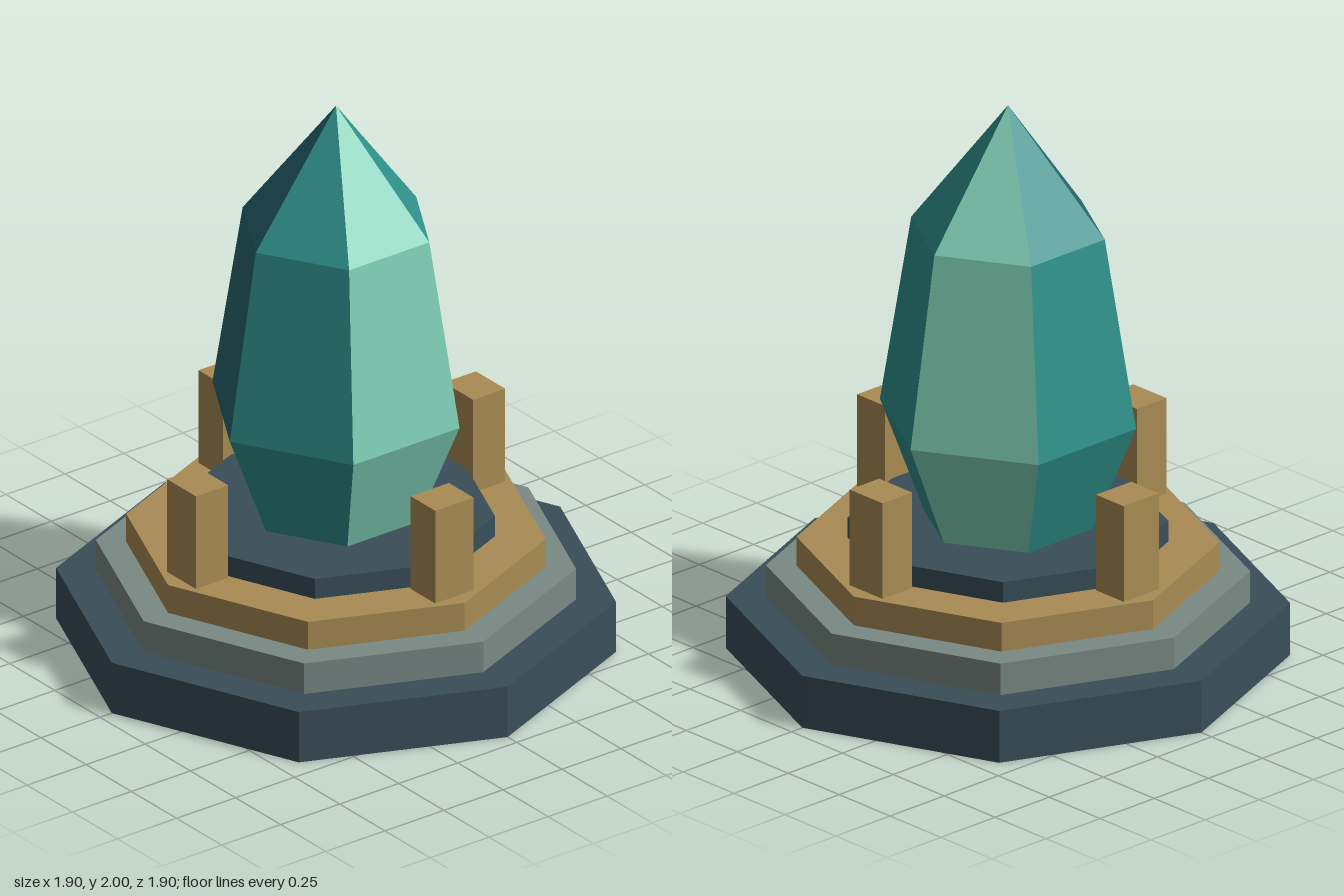
import * as THREE from 'three';

const mat = (name, color) => {
  const m = new THREE.MeshStandardMaterial({ color });
  m.name = name;
  return m;
};

// Gives every face its own flat normal
const faceted = (geometry) => {
  const g = geometry.toNonIndexed();
  g.computeVertexNormals();
  return g;
};

export function createModel() {
  const slate = mat('slate', 0x394e59);
  const stone = mat('stone', 0x7a8a85);
  const gold = mat('gold', 0xa98c54);
  const mint = mat('mint', 0x7fcfb6);
  const teal = mat('teal', 0x2f918c);
  const deepTeal = mat('deepTeal', 0x26666f);

  const model = new THREE.Group();
  model.name = 'crystalPedestal';
  const add = (parent, name, geometry, material) => {
    const mesh = new THREE.Mesh(geometry, material);
    mesh.name = name;
    parent.add(mesh);
    return mesh;
  };

  // Stepped octagonal base: name, radius, bottom, top, colour
  const tiers = [
    ['baseTier', 0.95, 0, 0.19, slate],
    ['stoneTier', 0.815, 0.19, 0.305, stone],
    ['goldTier', 0.712, 0.305, 0.41, gold],
    ['topTier', 0.54, 0.41, 0.485, slate],
  ];
  for (const [name, r, y0, y1, material] of tiers) {
    const g = faceted(new THREE.CylinderGeometry(r, r, y1 - y0, 8));
    add(model, name, g, material).position.y = (y0 + y1) / 2;
  }

  // Four posts standing on the gold tier
  const posts = new THREE.Group();
  posts.name = 'posts';
  model.add(posts);
  for (let i = 0; i < 4; i++) {
    const a = (i * Math.PI) / 2;
    const post = add(posts, 'post', new THREE.BoxGeometry(0.162, 0.35, 0.136), gold);
    post.position.set(Math.sin(a) * 0.587, 0.585, Math.cos(a) * 0.587);
    post.rotation.y = a;
  }

  // Six-sided crystal, one strip of facets per side
  const crystal = new THREE.Group();
  crystal.name = 'crystal';
  model.add(crystal);
  const profile = [[0.297, 0.485], [0.45, 0.87], [0.34, 1.55], [0, 2]]
    .map(([r, y]) => new THREE.Vector2(r, y));
  const sides = [mint, teal, mint, teal, deepTeal, teal];
  sides.forEach((material, i) => {
    const start = (i - 0.5) * Math.PI / 3;
    const g = faceted(new THREE.LatheGeometry(profile, 1, start, Math.PI / 3));
    add(crystal, 'crystalSide', g, material);
  });

  return model;
}
